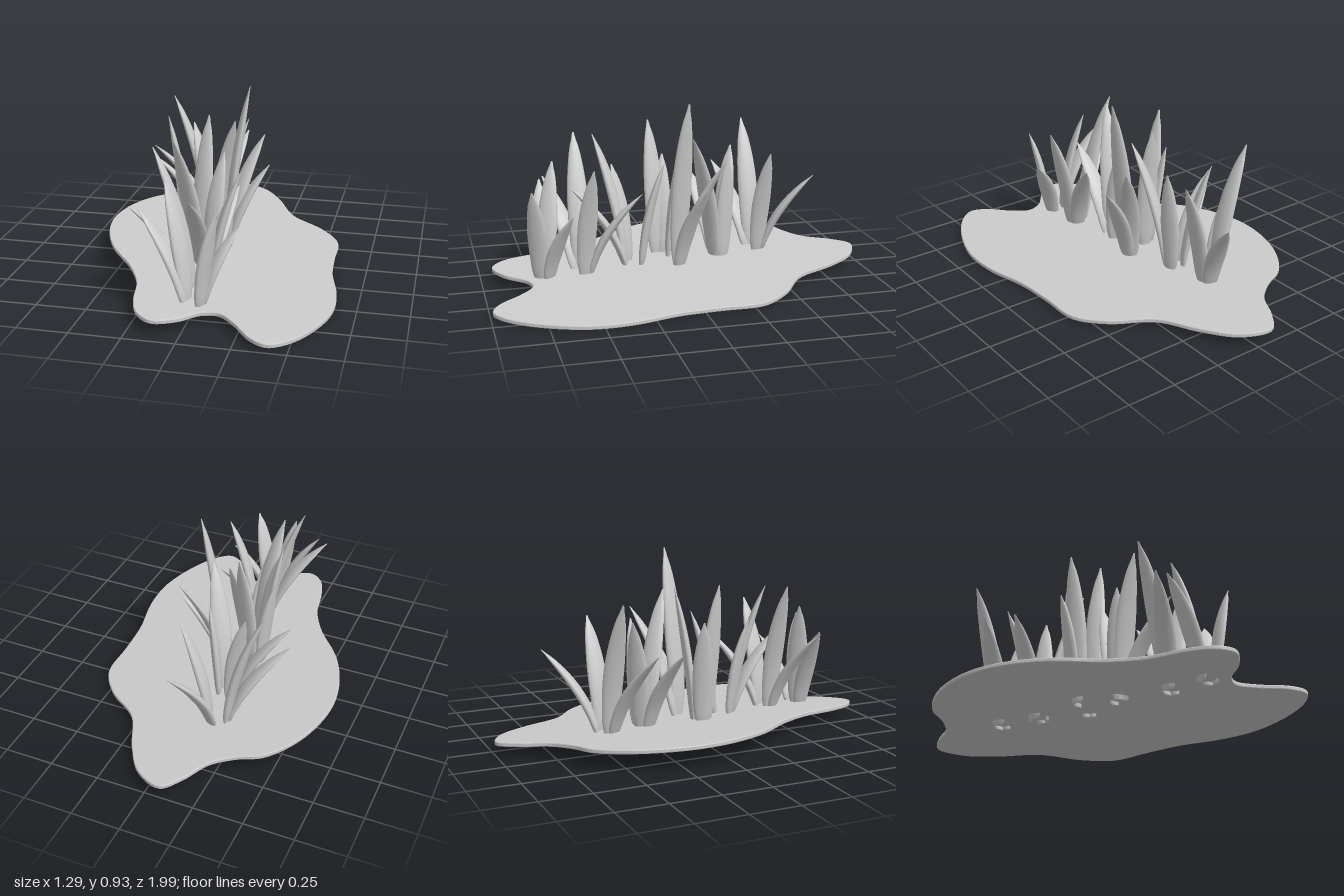
import * as THREE from 'three';

const material = new THREE.MeshStandardMaterial({ color: 0xcccccc, side: THREE.DoubleSide });

// Ground patch outline as [x, z]
const OUTLINE = [
  [-0.08, -1], [0.06, -0.94], [0.17, -0.79], [0.28, -0.58], [0.46, -0.44], [0.565, -0.29], [0.575, -0.08],
  [0.59, 0.13], [0.64, 0.37], [0.64, 0.58], [0.56, 0.82], [0.47, 0.95], [0.4, 0.99], [0.32, 0.95],
  [0.23, 0.84], [0.145, 0.77], [0.07, 0.79], [-0.02, 0.89], [-0.13, 0.945], [-0.21, 0.89], [-0.26, 0.77],
  [-0.3, 0.58], [-0.385, 0.41], [-0.54, 0.2], [-0.63, -0.03], [-0.645, -0.24], [-0.58, -0.48],
  [-0.46, -0.645], [-0.34, -0.7], [-0.235, -0.78], [-0.16, -0.915],
];

// Each tuft: centre [x, z] and blade tips [x, y, z]
const TUFTS = [
  { at: [-0.145, -0.46], tips: [[-0.015, 0.49, -0.745], [-0.375, 0.745, -0.455], [0.035, 0.63, -0.49], [-0.45, 0.5, -0.31]] },
  { at: [-0.1, -0.25], tips: [[-0.24, 0.63, -0.355], [-0.4, 0.49, -0.15], [0.045, 0.73, -0.075], [-0.02, 0.61, -0.28]] },
  { at: [-0.02, 0.01], tips: [[0.13, 0.93, -0.03], [0.175, 0.63, -0.205], [0.22, 0.5, -0.1]] },
  { at: [-0.13, 0.06], tips: [[-0.26, 0.785, 0.095], [-0.25, 0.6, 0.02], [-0.09, 0.755, -0.07]] },
  { at: [-0.05, 0.22], tips: [[-0.165, 0.58, 0.31], [-0.15, 0.745, 0.41], [-0.05, 0.5, 0.55], [0.02, 0.61, 0.07]] },
  { at: [0, 0.5], tips: [[0.125, 0.485, 0.21], [-0.23, 0.745, 0.495], [0.18, 0.63, 0.46], [-0.31, 0.5, 0.65]] },
  { at: [0.01, 0.7], tips: [[0.2, 0.41, 0.57], [-0.14, 0.62, 0.62], [-0.255, 0.5, 0.675], [0.13, 0.53, 0.76]] },
];

const groundY = (x) => 0.06 - 0.073 * x;

// Half width along a blade, from root to tip
const WIDTH = new THREE.SplineCurve([0.022, 0.042, 0.049, 0.053, 0.054, 0.05, 0.041, 0.027, 0.004]
  .map((w, i) => new THREE.Vector2(i / 8, w)));

// Leaf with a lens-shaped section swept along an outward bending curve
function bladeGeometry(root, tip) {
  const lean = new THREE.Vector3(tip.x - root.x, 0, tip.z - root.z);
  const height = tip.y - root.y;
  const bend = root.clone().addScaledVector(lean, 0.16).setY(root.y + height * 0.52);
  const path = new THREE.QuadraticBezierCurve3(root, bend, tip);
  const side = new THREE.Vector3(-lean.z, 0, lean.x).normalize();
  const scale = 0.84 + 0.22 * height;
  const rings = 20, sides = 14, positions = [], index = [];
  for (let i = 0; i <= rings; i++) {
    const t = i / rings;
    const centre = path.getPoint(t);
    const normal = path.getTangent(t).cross(side);
    const half = Math.max(WIDTH.getPoint(t).y, 0.003) * scale;
    for (let j = 0; j < sides; j++) {
      const a = (j / sides) * Math.PI * 2;
      const p = centre.clone().addScaledVector(side, Math.cos(a) * half)
        .addScaledVector(normal, Math.sin(a) * half * 0.42);
      positions.push(p.x, p.y, p.z);
      if (i === rings) continue;
      const k = i * sides + j, n = i * sides + (j + 1) % sides;
      index.push(k, n, n + sides, k, n + sides, k + sides);
    }
  }
  // Close root and tip
  const last = rings * sides;
  for (let j = 1; j < sides - 1; j++) {
    index.push(0, j + 1, j, last, last + j, last + j + 1);
  }
  const geometry = new THREE.BufferGeometry();
  geometry.setAttribute('position', new THREE.Float32BufferAttribute(positions, 3));
  geometry.setIndex(index);
  geometry.computeVertexNormals();
  return geometry;
}

function createGround() {
  const curve = new THREE.CatmullRomCurve3(OUTLINE.map(([x, z]) => new THREE.Vector3(x, -z, 0)), true);
  const shape = new THREE.Shape(curve.getPoints(180).slice(0, -1).map((p) => new THREE.Vector2(p.x, p.y)));
  const geometry = new THREE.ExtrudeGeometry(shape, {
    depth: 0.012, bevelThickness: 0.005, bevelSize: 0.005, bevelOffset: -0.005, bevelSegments: 2,
  });
  geometry.translate(0, 0, -0.006);
  geometry.rotateX(-Math.PI / 2);
  // Tilt the patch down towards +x
  const pos = geometry.attributes.position;
  for (let i = 0; i < pos.count; i++) pos.setY(i, pos.getY(i) + groundY(pos.getX(i)));
  geometry.computeVertexNormals();
  const mesh = new THREE.Mesh(geometry, material);
  mesh.name = 'groundPatch';
  return mesh;
}

export function createModel() {
  const model = new THREE.Group();
  model.name = 'grassPatch';
  model.add(createGround());
  for (const { at: [cx, cz], tips } of TUFTS) {
    const tuft = new THREE.Group();
    tuft.name = 'grassTuft';
    for (const [x, y, z] of tips) {
      // Root sits slightly off the tuft centre, on the side the blade leans to
      const out = new THREE.Vector2(x - cx, z - cz).setLength(0.04);
      const root = new THREE.Vector3(cx + out.x, groundY(cx) - 0.03, cz + out.y);
      const blade = new THREE.Mesh(bladeGeometry(root, new THREE.Vector3(x, y, z)), material);
      blade.name = 'grassBlade';
      tuft.add(blade);
    }
    model.add(tuft);
  }
  return model;
}
